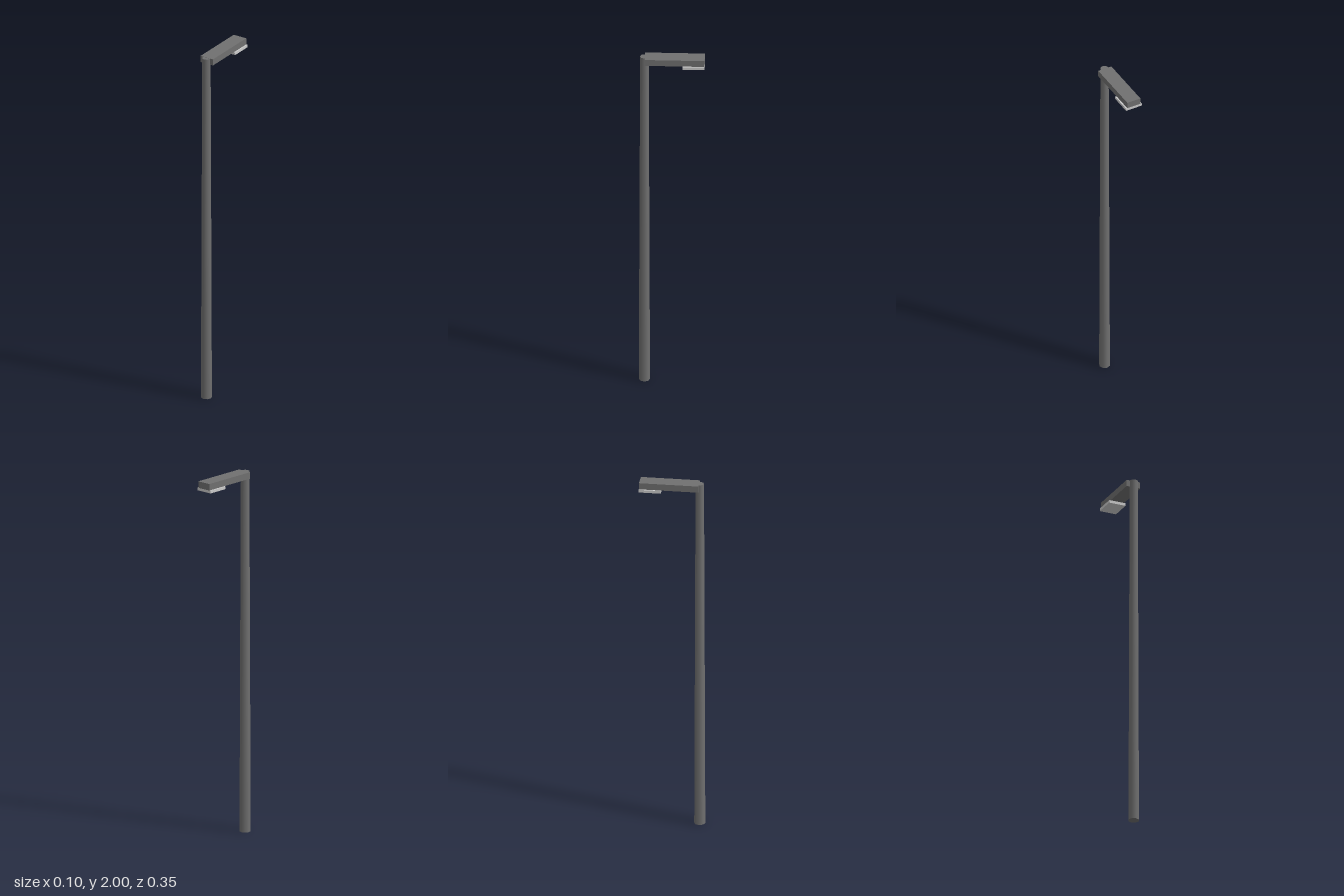
import * as THREE from 'three';

export function createModel() {
  const group = new THREE.Group();
  const darkMetal = new THREE.MeshStandardMaterial({ color: 0x707070 });
  const lampGrey = new THREE.MeshStandardMaterial({ color: 0xcccccc });

  const add = (name, geometry, material, x, y, z) => {
    const mesh = new THREE.Mesh(geometry, material);
    mesh.name = name;
    mesh.position.set(x, y, z);
    group.add(mesh);
  };

  // Box given by its width and its extents in y and z, centred on x
  const addBox = (name, material, width, y0, y1, z0, z1) =>
    add(name, new THREE.BoxGeometry(width, y1 - y0, z1 - z0), material, 0, (y0 + y1) / 2, (z0 + z1) / 2);

  // Tapered eight-sided pole with a corner facing front
  add('pole', new THREE.CylinderGeometry(0.023, 0.03, 1.999, 8), darkMetal, 0, 0.9995, 0.146);

  // Horizontal arm reaching backwards from the pole top
  addBox('arm', darkMetal, 0.08, 1.964, 2, -0.177, 0.143);

  // Wider lamp panel under the end of the arm
  addBox('lampPanel', lampGrey, 0.096, 1.949, 1.964, -0.177, -0.058);

  return group;
}
